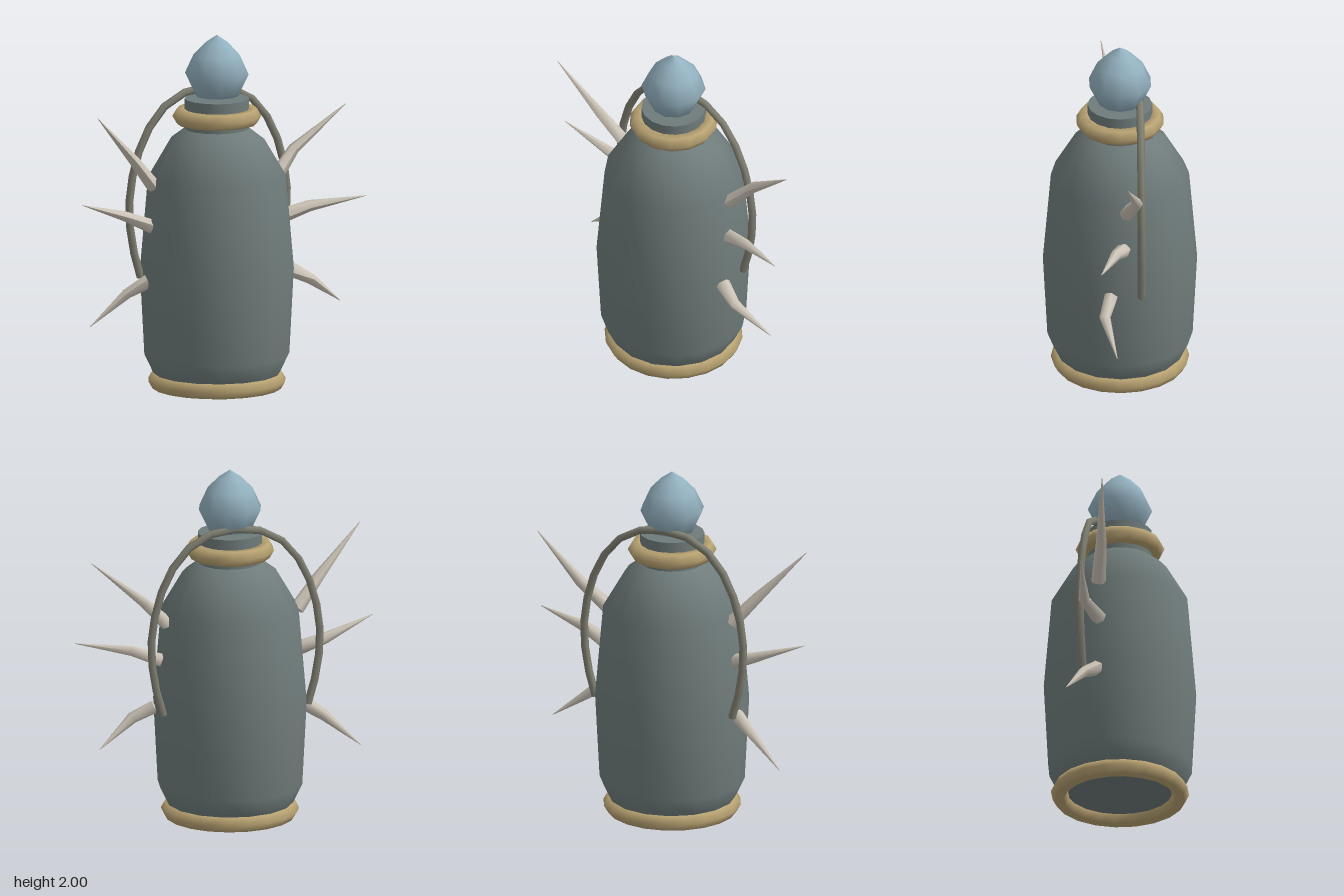
import * as THREE from 'three';

const mat = (name, color, side = THREE.FrontSide) => {
  const m = new THREE.MeshStandardMaterial({ color, side });
  m.name = name;
  return m;
};

export function createModel() {
  const glass = mat('slate glaze', 0x6f7c7b);
  const gold = mat('old gold', 0xb8a272);
  const crystal = mat('pale blue crystal', 0x93b1bf);
  const bone = mat('bone', 0xcdc5b8);
  const cord = mat('handle grey', 0x7f7f72);

  const model = new THREE.Group();
  model.name = 'thornBottle';
  const axisX = -0.02;
  const add = (name, geometry, material, x = 0, y = 0, z = 0) => {
    const mesh = new THREE.Mesh(geometry, material);
    mesh.name = name;
    mesh.position.set(x, y, z);
    model.add(mesh);
    return mesh;
  };
  const lathe = (pts, sides) =>
    new THREE.LatheGeometry(pts.map(([r, y]) => new THREE.Vector2(r, y)), sides);

  // Bottle body and neck
  add('body', lathe([[0, 0.05], [0.33, 0.05], [0.355, 0.085], [0.405, 0.19], [0.43, 0.67],
    [0.385, 1.2], [0.265, 1.405], [0.18, 1.47]], 16), glass, axisX);
  add('neck', new THREE.CylinderGeometry(0.18, 0.18, 0.2, 16), glass, axisX, 1.54);

  // Faceted stopper
  const stopper = add('stopper', lathe([[0, 1.64], [0.12, 1.655], [0.18, 1.78], [0.132, 1.885],
    [0.065, 1.955], [0, 2]], 10), crystal, axisX);
  stopper.rotation.y = Math.PI / 2;

  // Gold rings at the foot and neck
  const ring = (name, radius, y, sides) => {
    const g = new THREE.TorusGeometry(radius, 0.048, 6, sides).rotateX(Math.PI / 2);
    add(name, g, gold, axisX, y);
  };
  ring('footRing', 0.338, 0.0416, 20);
  ring('neckRing', 0.2, 1.54, 14);

  // Arched handle behind the neck
  const half = [[0.42, 0.64], [0.475, 0.85], [0.488, 1.1], [0.42, 1.38], [0.3, 1.57], [0.16, 1.66]];
  const path = [...half.map(([x, y]) => [-x, y]), [0, 1.685], ...half.slice().reverse()];
  const curve = new THREE.CatmullRomCurve3(path.map(([x, y]) => new THREE.Vector3(x, y, 0)));
  add('handle', new THREE.TubeGeometry(curve, 18, 0.022, 6), cord, axisX, 0, -0.11);
  for (const s of [-1, 1]) {
    const end = new THREE.CircleGeometry(0.022, 6).rotateX(Math.PI / 2);
    add('handleEnd', end, cord, axisX + s * 0.42, 0.64, -0.11).rotation.z = s * 0.2;
  }

  // Bent thorns: a cone whose three rows follow base, bend and tip
  const thorn = (name, base, bend, tip) => {
    const p = [base, bend, tip].map((a) => new THREE.Vector3(...a));
    const dirs = [p[1].clone().sub(p[0]), p[2].clone().sub(p[0]), p[2].clone().sub(p[1])];
    const radii = [0.042, 0.032, 0.002];
    const g = new THREE.CylinderGeometry(1, 1, 2, 6, 2);
    const pos = g.attributes.position;
    const v = new THREE.Vector3();
    const up = new THREE.Vector3(0, 1, 0);
    for (let i = 0; i < pos.count; i++) {
      v.fromBufferAttribute(pos, i);
      const row = Math.round(v.y + 1);
      const q = new THREE.Quaternion().setFromUnitVectors(up, dirs[row].clone().normalize());
      v.setY(0).multiplyScalar(radii[row]).applyQuaternion(q).add(p[row]);
      pos.setXYZ(i, v.x, v.y, v.z);
    }
    g.computeVertexNormals();
    add(name, g, bone);
  };
  thorn('upperRightThorn', [-0.4, 1.17, -0.03], [-0.54, 1.33, 0.02], [-0.805, 1.61, 0.09]);
  thorn('middleRightThorn', [-0.41, 0.94, -0.02], [-0.55, 1.0, -0.075], [-0.845, 1.1, -0.02]);
  thorn('lowerRightThorn', [-0.43, 0.63, -0.03], [-0.54, 0.56, -0.08], [-0.745, 0.38, -0.13]);
  thorn('upperLeftThorn', [0.36, 1.15, -0.03], [0.5, 1.29, -0.085], [0.795, 1.53, -0.03]);
  thorn('middleLeftThorn', [0.38, 0.93, -0.01], [0.54, 0.985, 0.035], [0.845, 1.03, 0.12]);
  thorn('lowerLeftThorn', [0.4, 0.645, 0.06], [0.52, 0.58, 0.095], [0.73, 0.43, 0.03]);

  return model;
}
